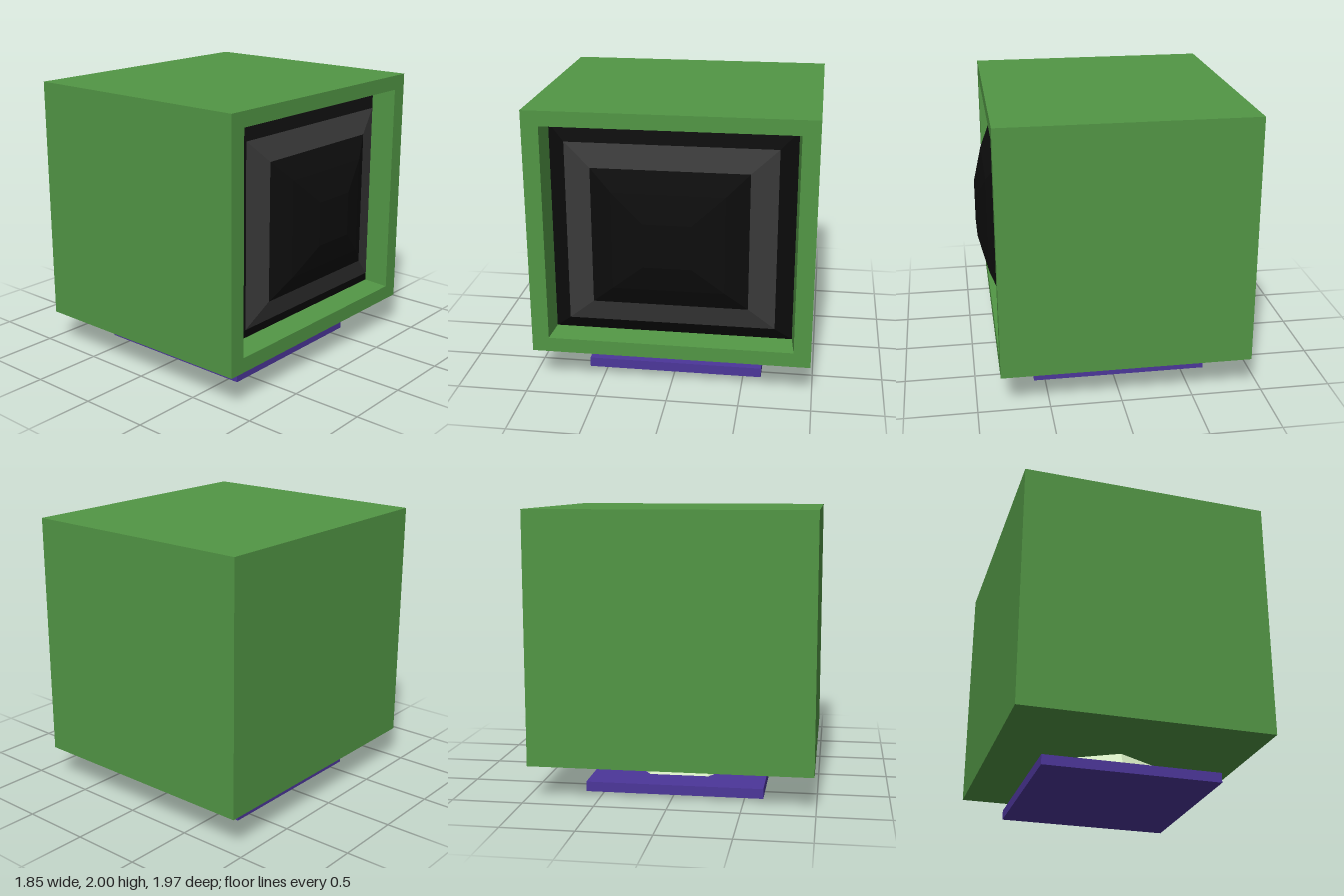
import * as THREE from 'three';

const CENTRE_Y = 1.12;

// Joins rectangular rings [x, halfHeight, halfDepth] stacked along x.
function rectLoft(rings, startCap, endCap) {
  const loops = rings.map(([x, h, d]) =>
    [[-h, -d], [h, -d], [h, d], [-h, d]].map(([y, z]) => [x, CENTRE_Y + y, z]));
  const pos = [];
  const quad = (a, b, c, d) => [a, b, c, a, c, d].forEach(p => pos.push(...p));
  for (let r = 0; r < loops.length - 1; r++) {
    for (let i = 0; i < 4; i++) {
      const j = (i + 1) % 4;
      quad(loops[r][i], loops[r][j], loops[r + 1][j], loops[r + 1][i]);
    }
  }
  if (startCap) quad(...[...loops[0]].reverse());
  if (endCap) quad(...loops[loops.length - 1]);
  const geo = new THREE.BufferGeometry();
  geo.setAttribute('position', new THREE.Float32BufferAttribute(pos, 3));
  geo.computeVertexNormals();
  return geo;
}

export function createModel() {
  const group = new THREE.Group();
  const add = (name, geometry, color, x = 0, y = 0) => {
    const mesh = new THREE.Mesh(geometry,
      new THREE.MeshStandardMaterial({ color, flatShading: true }));
    mesh.name = name;
    mesh.position.set(x, y, 0);
    group.add(mesh);
  };

  // Cube case with a slightly tapered recess in its +x side
  add('case', rectLoft([
    [-0.925, 0.88, 0.985],
    [0.835, 0.88, 0.985],
    [0.835, 0.775, 0.865],
    [0.657, 0.757, 0.845],
  ], true, false), 0x529645);

  // Dark surround, lighter bezel and bulging screen
  add('screenSurround', rectLoft([
    [0.657, 0.757, 0.845],
    [0.735, 0.648, 0.725],
  ], false, false), 0x0c0c0c);
  add('bezel', rectLoft([
    [0.735, 0.648, 0.725],
    [0.785, 0.487, 0.54],
  ], false, false), 0x3a3a3a);
  add('screen', rectLoft([
    [0.785, 0.487, 0.54],
    [0.86, 0.345, 0.385],
    [0.925, 0.155, 0.165],
  ], false, true), 0x0d0d0d);

  // Hexagonal neck on a square base plate
  add('neck', new THREE.CylinderGeometry(0.35, 0.43, 0.17, 6), 0xdcf0c8, -0.045, 0.155);
  add('base', new THREE.BoxGeometry(1.25, 0.07, 1.26), 0x4c369a, -0.045, 0.035);

  return group;
}
